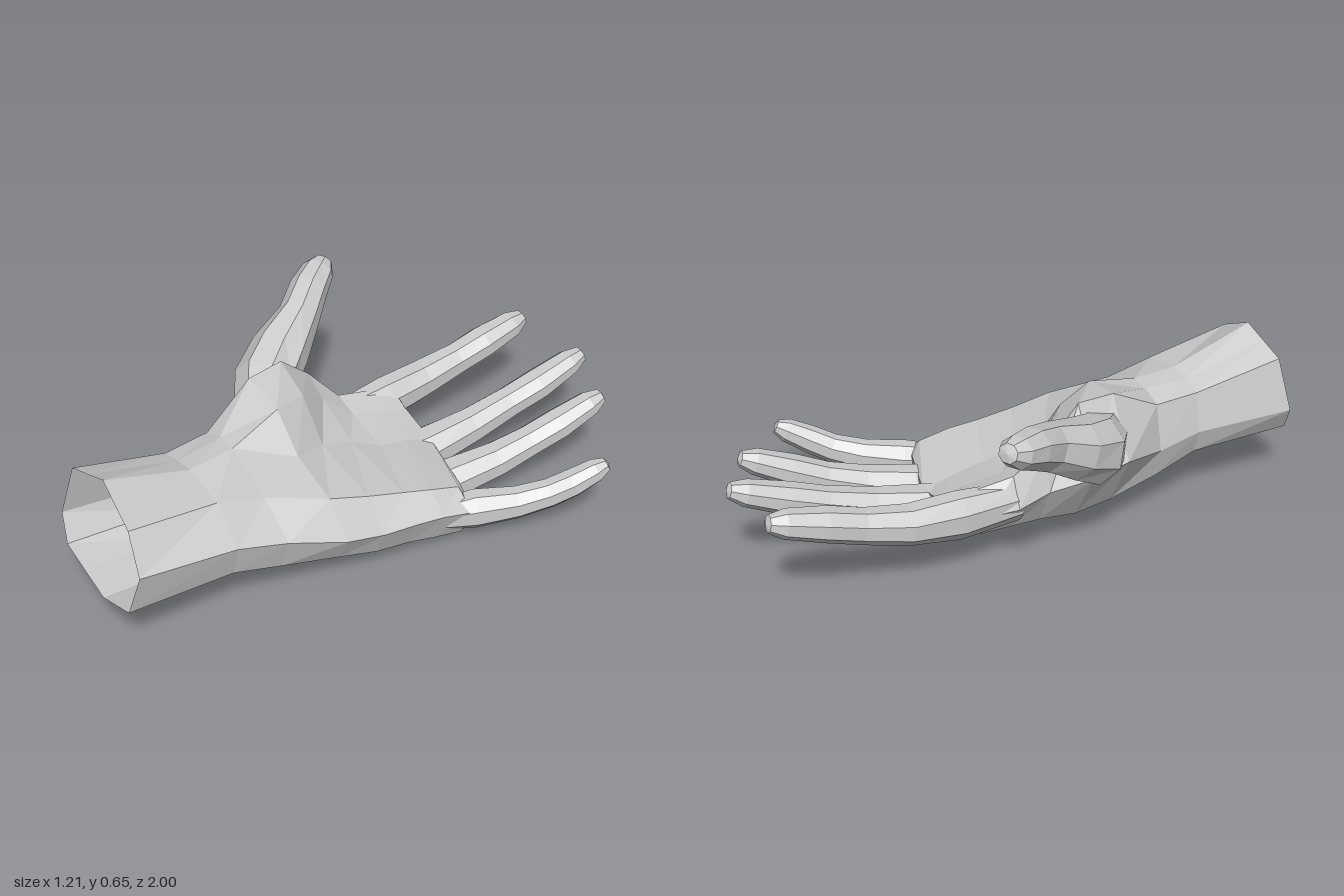
import * as THREE from 'three';

const material = new THREE.MeshStandardMaterial({
  color: 0xcccccc, flatShading: true, side: THREE.DoubleSide,
});

// Skin a list of rings (equal point counts), open at the start, fanned shut to a tip point.
function loft(name, rings, tip) {
  const pos = [];
  const tri = (a, b, c) => pos.push(...a.toArray(), ...b.toArray(), ...c.toArray());
  const n = rings[0].length;
  for (let i = 0; i < rings.length; i++) {
    for (let j = 0; j < n; j++) {
      const k = (j + 1) % n;
      const a = rings[i][j], b = rings[i][k];
      if (i === rings.length - 1) { tri(a, b, tip); continue; }
      const c = rings[i + 1][j], d = rings[i + 1][k];
      tri(a, b, c);
      tri(b, d, c);
    }
  }
  const geometry = new THREE.BufferGeometry();
  geometry.setAttribute('position', new THREE.Float32BufferAttribute(pos, 3));
  geometry.computeVertexNormals();
  const mesh = new THREE.Mesh(geometry, material);
  mesh.name = name;
  return mesh;
}

// A digit follows joints [x, y, z, half width, half height]; the last joint is the tip.
function digit(name, joints, sides = 8) {
  const tip = joints.at(-1);
  // A narrower ring just before the tip makes it blunt.
  const blunt = joints.at(-2).map((v, i) => (i < 3 ? v + (tip[i] - v) * 0.85 : v * 0.6));
  const path = [...joints.slice(0, -1), blunt, tip];
  const centres = path.map(([x, y, z]) => new THREE.Vector3(x, y, z));
  const up = new THREE.Vector3(0, 1, 0);
  const rings = path.slice(0, -1).map(([, , , w, h], i) => {
    const dir = centres[i + 1].clone().sub(centres[Math.max(i - 1, 0)]).normalize();
    const side = dir.clone().cross(up).normalize();
    const lift = side.clone().cross(dir);
    return Array.from({ length: sides }, (_, j) => {
      const a = ((j + 0.5) / sides) * Math.PI * 2;
      return centres[i].clone()
        .addScaledVector(side, -Math.cos(a) * w)
        .addScaledVector(lift, Math.sin(a) * h);
    });
  });
  return loft(name, rings, centres.at(-1));
}

// Sections run from the thumb edge over the palm side, then along the back of the hand.
const wristSections = [
  { z: (x, y) => 1 - 0.18 * (y - 0.165), p: [[-0.19, 0.3], [-0.145, 0.49], [-0.05, 0.522], [0.045, 0.555], [0.215, 0.475], [0.305, 0.36], [0.265, 0.21], [0.11, 0.165], [-0.02, 0.187], [-0.14, 0.21]] },
  { z: () => 0.62, p: [[-0.16, 0.28], [-0.13, 0.42], [-0.05, 0.438], [0.03, 0.45], [0.19, 0.42], [0.305, 0.31], [0.27, 0.19], [0.1, 0.135], [-0.02, 0.15], [-0.13, 0.19]] },
  { z: () => 0.45, p: [[-0.19, 0.26], [-0.15, 0.42], [-0.07, 0.445], [0.01, 0.45], [0.2, 0.37], [0.33, 0.27], [0.29, 0.15], [0.1, 0.085], [-0.02, 0.1], [-0.16, 0.15]] },
];
const palmSections = [
  { z: () => 0.25, p: [[-0.32, 0.33], [-0.2, 0.53], [-0.03, 0.5], [0.09, 0.38], [0.27, 0.32], [0.375, 0.21], [0.32, 0.11], [0.1, 0.06], [-0.03, 0.07], [-0.2, 0.125]] },
  { z: () => 0.11, p: [[-0.34, 0.31], [-0.22, 0.535], [-0.09, 0.47], [0.03, 0.33], [0.29, 0.28], [0.385, 0.18], [0.34, 0.08], [0.1, 0.045], [-0.03, 0.05], [-0.21, 0.11]] },
  { z: () => -0.02, p: [[-0.28, 0.26], [-0.25, 0.42], [-0.16, 0.36], [0.01, 0.28], [0.31, 0.25], [0.395, 0.17], [0.35, 0.065], [0.12, 0.035], [-0.03, 0.04], [-0.2, 0.115]] },
  { z: () => -0.12, p: [[-0.26, 0.21], [-0.21, 0.31], [-0.12, 0.28], [0.04, 0.24], [0.33, 0.23], [0.405, 0.16], [0.36, 0.045], [0.14, 0.02], [-0.02, 0.038], [-0.2, 0.115]] },
  { z: () => -0.23, p: [[-0.26, 0.21], [-0.2, 0.29], [-0.1, 0.255], [0.04, 0.215], [0.34, 0.2], [0.42, 0.14], [0.37, 0.028], [0.17, 0.003], [-0.02, 0.04], [-0.2, 0.115]] },
  { z: (x) => -0.34 + 0.3 * Math.max(0, x - 0.08), p: [[-0.25, 0.21], [-0.18, 0.265], [-0.1, 0.225], [0.04, 0.18], [0.3, 0.165], [0.38, 0.12], [0.34, 0.06], [0.16, 0.045], [-0.02, 0.075], [-0.18, 0.135]] },
];

// Fingers and thumb, from root to tip.
const digits = {
  thumb: [
    [-0.19, 0.36, 0.22, 0.09, 0.11], [-0.31, 0.405, 0.12, 0.11, 0.12], [-0.375, 0.465, 0.01, 0.105, 0.1],
    [-0.435, 0.53, -0.11, 0.075, 0.08], [-0.505, 0.58, -0.2, 0.07, 0.068], [-0.55, 0.606, -0.27, 0.06, 0.053], [-0.575, 0.625, -0.315],
  ],
  indexFinger: [
    [-0.2, 0.21, -0.1, 0.05, 0.07], [-0.21, 0.215, -0.32, 0.075, 0.083], [-0.22, 0.232, -0.5, 0.073, 0.068],
    [-0.212, 0.262, -0.65, 0.062, 0.06], [-0.205, 0.297, -0.77, 0.066, 0.058], [-0.2, 0.33, -0.9, 0.054, 0.048], [-0.2, 0.345, -0.96],
  ],
  middleFinger: [
    [0.01, 0.12, -0.2, 0.07, 0.07], [0.025, 0.13, -0.34, 0.085, 0.073], [0.045, 0.165, -0.52, 0.068, 0.065],
    [0.06, 0.21, -0.68, 0.06, 0.057], [0.075, 0.25, -0.8, 0.063, 0.055], [0.086, 0.3, -0.94, 0.052, 0.045], [0.09, 0.323, -1],
  ],
  ringFinger: [
    [0.18, 0.1, -0.18, 0.07, 0.07], [0.2, 0.115, -0.32, 0.08, 0.07], [0.235, 0.145, -0.48, 0.068, 0.062],
    [0.26, 0.185, -0.61, 0.06, 0.055], [0.285, 0.23, -0.72, 0.062, 0.054], [0.307, 0.28, -0.84, 0.05, 0.045], [0.315, 0.302, -0.895],
  ],
  littleFinger: [
    [0.33, 0.11, -0.13, 0.045, 0.05], [0.38, 0.115, -0.27, 0.065, 0.07], [0.45, 0.128, -0.4, 0.055, 0.058],
    [0.5, 0.155, -0.5, 0.05, 0.052], [0.535, 0.19, -0.57, 0.05, 0.05], [0.565, 0.23, -0.645, 0.042, 0.042], [0.58, 0.25, -0.685],
  ],
};

export function createModel() {
  const hand = new THREE.Group();
  hand.name = 'hand';
  const rings = [...wristSections, ...palmSections]
    .map(({ z, p }) => p.map(([x, y]) => new THREE.Vector3(x, y, z(x, y))));
  hand.add(loft('wristAndPalm', rings, new THREE.Vector3(0.08, 0.14, -0.33)));
  for (const [name, joints] of Object.entries(digits)) hand.add(digit(name, joints));
  return hand;
}
